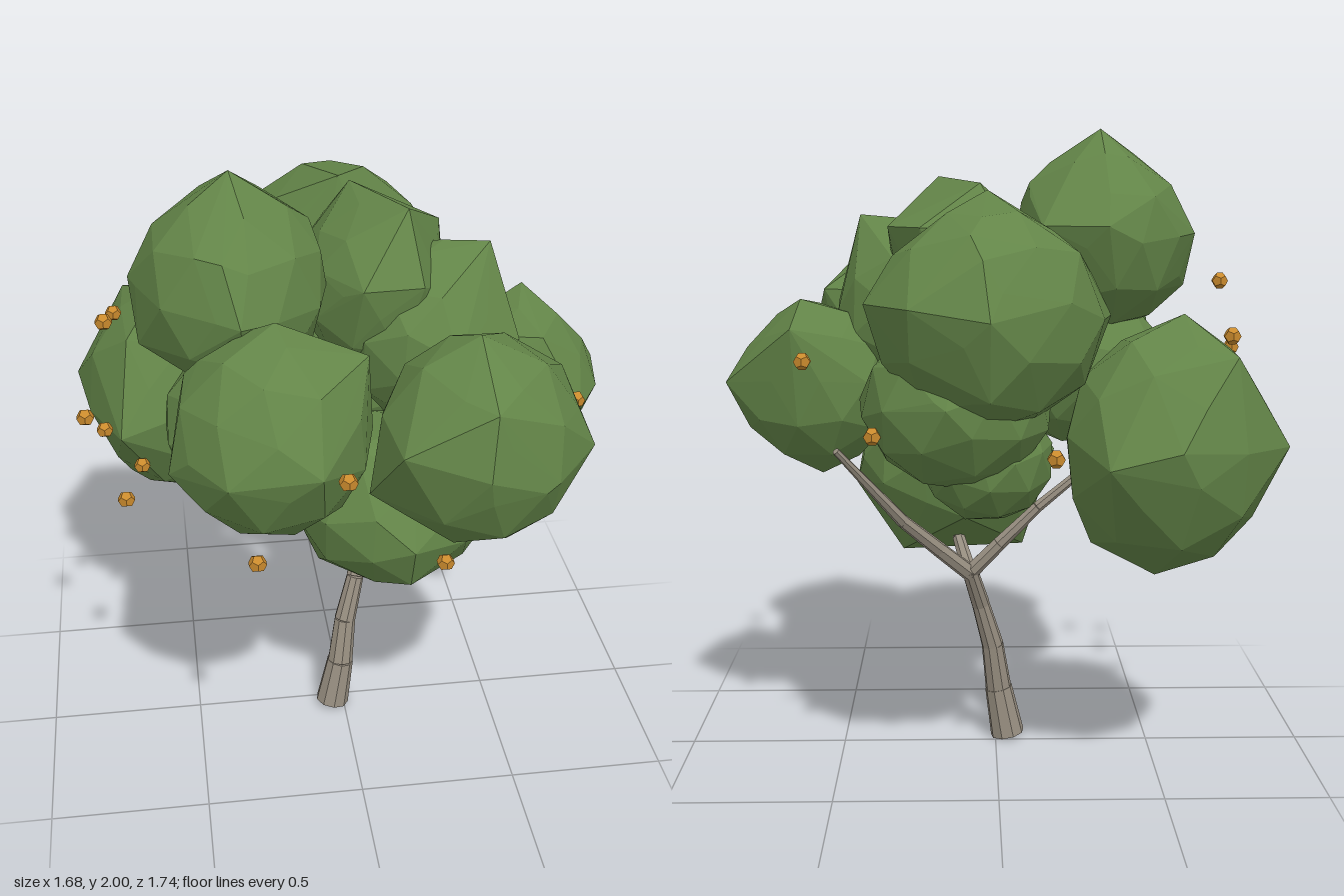
import * as THREE from 'three';
import { ConvexGeometry } from 'three/addons/geometries/ConvexGeometry.js';

const foliageMat = new THREE.MeshStandardMaterial({ color: 0x638548 });
const barkMat = new THREE.MeshStandardMaterial({ color: 0x988f81 });
const fruitMat = new THREE.MeshStandardMaterial({ color: 0xc98a2d });
foliageMat.name = 'leaf green';
barkMat.name = 'grey bark';
fruitMat.name = 'amber fruit';
for (const mat of [foliageMat, barkMat, fruitMat]) mat.flatShading = true;

// Faceted leaf clump: a rounded core with corners pulled out of it
function clump(name, center, radii, corners) {
  const turn = new THREE.Euler(center[0] * 9, center[1] * 7, center[2] * 5);
  const pos = new THREE.IcosahedronGeometry(1, 1).attributes.position;
  const points = corners.map((c) => new THREE.Vector3(...c));
  const size = new THREE.Vector3(...radii);
  const middle = new THREE.Vector3(...center);
  const seen = new Set();
  for (let i = 0; i < pos.count; i++) {
    const v = new THREE.Vector3().fromBufferAttribute(pos, i);
    const key = v.toArray().map((n) => Math.round(n * 100)).join();
    if (seen.has(key)) continue;
    seen.add(key);
    points.push(v.applyEuler(turn).multiply(size).add(middle));
  }
  const mesh = new THREE.Mesh(new ConvexGeometry(points), foliageMat);
  mesh.name = name;
  return mesh;
}

// Tapered segment between two points
function segment(a, b, r0, r1, sides) {
  const from = new THREE.Vector3(...a);
  const dir = new THREE.Vector3(...b).sub(from);
  const mesh = new THREE.Mesh(new THREE.CylinderGeometry(r1, r0, dir.length(), sides), barkMat);
  mesh.position.copy(from).addScaledVector(dir, 0.5);
  mesh.quaternion.setFromUnitVectors(new THREE.Vector3(0, 1, 0), dir.normalize());
  return mesh;
}

// Limb from path points and the start and end radius of each segment
function limb(name, sides, points, radii) {
  const group = new THREE.Group();
  group.name = name;
  radii.forEach(([r0, r1], i) => {
    const part = segment(points[i], points[i + 1], r0, r1, sides);
    part.name = `${name}Segment${i + 1}`;
    group.add(part);
  });
  return group;
}

const FRUITS = [
  [-0.72, 1.52, 0.06], [-0.7, 1.38, -0.31], [-0.79, 1.29, 0.22], [-0.75, 1.07, -0.1],
  [-0.69, 1.0, 0.22], [-0.64, 0.93, -0.1], [-0.33, 1.04, 0.68], [-0.09, 1.35, 0.79],
  [0.23, 0.92, 0.57], [0.65, 1.32, 0.36], [0.68, 1.2, 0.28], [0.56, 1.18, 0.55],
  [0.57, 1.32, -0.42], [0.36, 1.125, -0.58], [-0.155, 1.075, -0.67],
];

export function createModel() {
  const tree = new THREE.Group();
  tree.name = 'tree';

  // Trunk and branches
  const fork = [0.085, 0.6, -0.095];
  tree.add(
    limb('trunk', 9,
      [[-0.04, 0.012, 0.04], [-0.01, 0.175, 0.03], [0.01, 0.33, 0.005], [0.05, 0.48, -0.03], [0.085, 0.61, -0.1]],
      [[0.056, 0.045], [0.043, 0.036], [0.036, 0.029], [0.03, 0.026]]),
    limb('rightBranch', 7, [fork, [-0.01, 0.7, -0.11], [-0.13, 0.82, -0.12], [-0.39, 1.03, -0.1]],
      [[0.026, 0.023], [0.023, 0.018], [0.018, 0.011]]),
    limb('leftBranch', 7, [fork, [0.18, 0.69, -0.15], [0.29, 0.8, -0.23], [0.48, 1.05, -0.39]],
      [[0.027, 0.025], [0.025, 0.021], [0.021, 0.011]]),
    limb('frontBranch', 7, [fork, [0.12, 0.7, -0.02], [0.11, 0.95, 0.1]],
      [[0.024, 0.02], [0.02, 0.01]]),
  );

  // Crown
  const crown = new THREE.Group();
  crown.name = 'crown';
  crown.add(
    clump('topClump', [-0.34, 1.65, 0.14], [0.28, 0.3, 0.31], [
      [-0.34, 2, 0.15], [-0.11, 1.83, 0.1], [-0.64, 1.67, 0.08], [-0.62, 1.5, 0.18], [-0.34, 1.92, -0.02],
      [-0.38, 1.82, 0.4], [-0.34, 1.66, 0.48], [-0.34, 1.7, -0.2], [-0.14, 1.7, -0.15]]),
    clump('frontRightClump', [-0.27, 1.37, 0.54], [0.28, 0.3, 0.27], [
      [-0.25, 1.69, 0.5], [0, 1.6, 0.55], [0.02, 1.35, 0.5], [-0.56, 1.3, 0.6], [-0.5, 1.53, 0.45],
      [-0.41, 1.35, 0.8], [-0.16, 1.38, 0.83]]),
    clump('frontLeftClump', [0.31, 1.33, 0.57], [0.29, 0.31, 0.28], [
      [0.28, 1.36, 0.87], [0.06, 1.4, 0.78], [0.49, 1.3, 0.79], [0.63, 1.32, 0.63], [0.58, 1.47, 0.42],
      [0.3, 1.66, 0.59], [0.33, 0.99, 0.52], [0, 1.18, 0.58], [0.3, 1.54, 0.83]]),
    clump('lowFrontClump', [0.13, 0.92, 0.17], [0.31, 0.26, 0.32], [
      [0, 1.18, 0.3], [0.42, 1.05, 0.2], [0.46, 0.84, 0.2], [0.3, 0.645, 0.05], [-0.09, 0.65, 0.1],
      [-0.2, 0.95, 0.2], [0.15, 0.92, 0.52], [0.15, 0.77, 0.46], [0.1, 0.8, -0.18]]),
    clump('lowBackClump', [-0.5, 1.06, -0.4], [0.31, 0.36, 0.32], [
      [-0.84, 1.08, -0.51], [-0.67, 1.35, -0.6], [-0.5, 1.1, -0.74], [-0.3, 1.05, -0.73], [-0.47, 0.67, -0.39],
      [-0.7, 1.05, -0.06], [-0.68, 0.77, -0.35], [-0.28, 0.76, -0.35], [-0.55, 1.45, -0.35]]),
    clump('backClump', [0.03, 1.45, -0.53], [0.33, 0.32, 0.31], [
      [0.03, 1.47, -0.87], [0.25, 1.5, -0.8], [0.38, 1.5, -0.6], [-0.33, 1.45, -0.38], [0.03, 1.81, -0.3],
      [0.05, 1.74, -0.65], [0.05, 1.63, -0.8], [0.03, 1.25, -0.8], [0.2, 1.4, -0.25]]),
    clump('middleClump', [0.1, 1.55, -0.02], [0.22, 0.27, 0.26], [
      [0.18, 1.85, 0.12], [0.05, 1.83, -0.2], [0.23, 1.7, -0.31], [-0.02, 1.7, -0.28], [0.33, 1.7, -0.18],
      [-0.14, 1.6, -0.16], [0.21, 1.65, 0.24], [0.03, 1.65, 0.25]]),
    clump('leftClump', [0.56, 1.2, -0.04], [0.25, 0.26, 0.23], [
      [0.84, 1.22, -0.12], [0.81, 1.2, 0.05], [0.72, 1.2, 0.2], [0.5, 1.2, 0.21], [0.62, 1.4, -0.29],
      [0.6, 1.48, -0.15], [0.55, 0.92, -0.05], [0.6, 1.42, 0.14]]),
    clump('upperLeftClump', [0.24, 1.42, 0.04], [0.26, 0.28, 0.28], [
      [0.43, 1.73, 0.1], [0.51, 1.45, 0.2], [0.3, 1.45, 0.34], [0.3, 1.72, 0.05]]),
    clump('innerBackClump', [0.12, 1.2, -0.46], [0.28, 0.25, 0.27], [
      [0.41, 1.2, -0.35], [0.15, 1.22, -0.74]]),
    clump('smallBackClump', [0.035, 1.03, -0.4], [0.2, 0.19, 0.2], []),
    clump('innerRightClump', [-0.28, 1.23, 0.2], [0.29, 0.26, 0.3], []),
  );
  tree.add(crown);

  // Fruit around the crown
  const fruits = new THREE.Group();
  fruits.name = 'fruits';
  const fruitGeo = new THREE.DodecahedronGeometry(0.027);
  FRUITS.forEach((p, i) => {
    const fruit = new THREE.Mesh(fruitGeo, fruitMat);
    fruit.name = `fruit${i + 1}`;
    fruit.position.set(...p);
    fruits.add(fruit);
  });
  tree.add(fruits);

  return tree;
}
